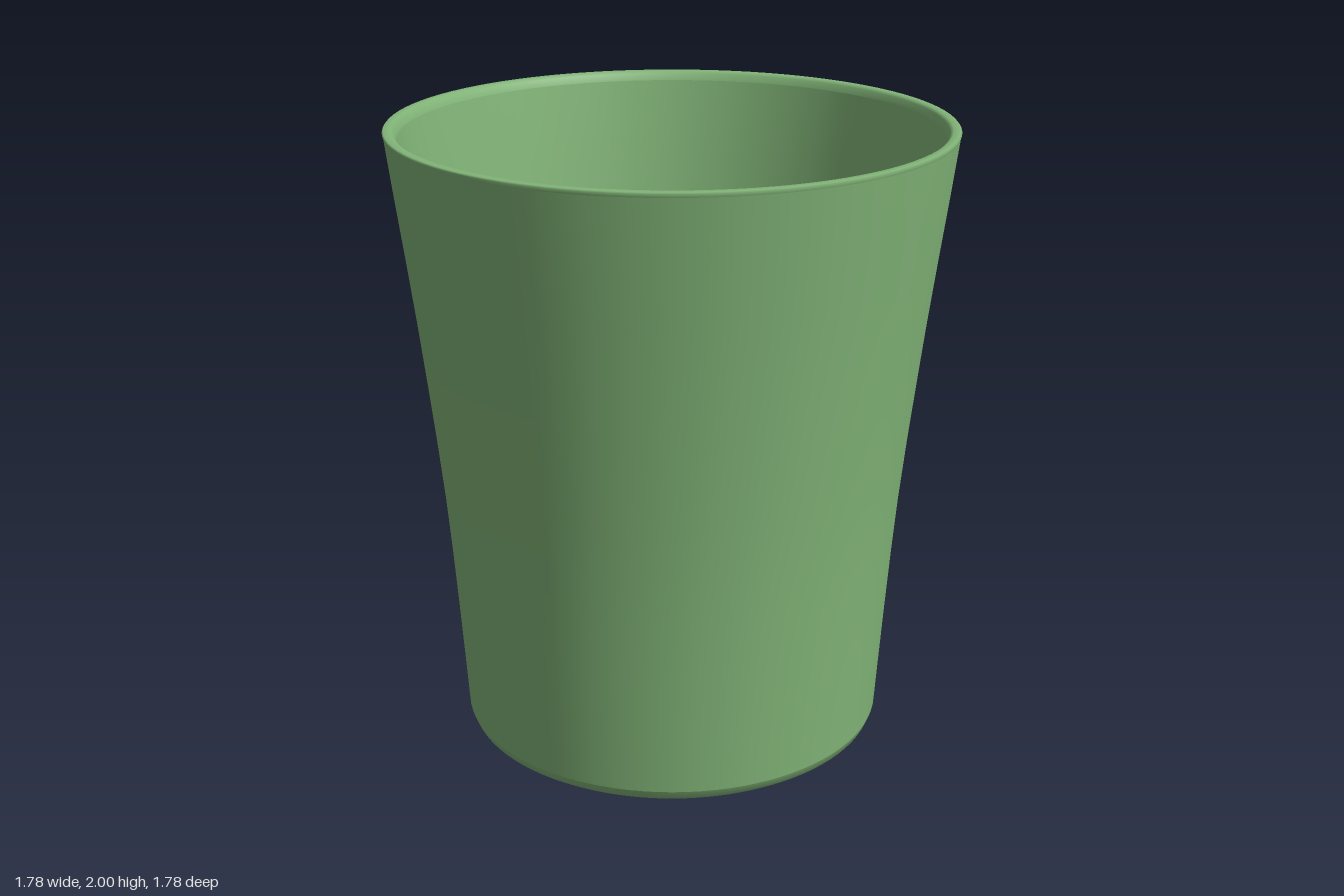
import * as THREE from 'three';

const SEGMENTS = 96;

// Each profile is a list of [radius, height]; separate lathes keep the edges between them crisp.
function turned(name, profile, material) {
  const points = profile.map(([r, y]) => new THREE.Vector2(r, y));
  const mesh = new THREE.Mesh(new THREE.LatheGeometry(points, SEGMENTS), material);
  mesh.name = name;
  return mesh;
}

export function createModel() {
  const group = new THREE.Group();
  group.name = 'cup';
  const green = new THREE.MeshStandardMaterial({ color: 0x82b578 });
  green.name = 'soft green';

  // Flared wall radii, shared by the outside and the inside
  const wall = [
    [0.693, 0.04], [0.703, 0.2], [0.716, 0.4], [0.73, 0.6], [0.746, 0.8],
    [0.766, 1.0], [0.788, 1.2], [0.811, 1.4], [0.836, 1.6], [0.862, 1.8], [0.885, 1.985],
  ];
  const thickness = 0.042;
  const inside = wall.slice(1, -1).reverse().map(([r, y]) => [r - thickness, y]);

  group.add(
    // Flat underside
    turned('base', [[0, 0], [0.665, 0]], green),
    // Small bevel around the foot
    turned('footBevel', [[0.665, 0], [0.682, 0.012], [0.693, 0.04]], green),
    turned('outerWall', wall, green),
    // Softly rounded lip
    turned('rim', [[0.885, 1.985], [0.888, 1.995], [0.884, 2], [0.862, 2], [0.852, 1.992], [0.845, 1.97]], green),
    // Inner wall running down to the floor
    turned('innerWall', [[0.845, 1.97], ...inside, [0.65, 0.12]], green),
    // Floor with a rounded edge
    turned('floor', [[0.65, 0.12], [0.638, 0.09], [0.61, 0.07], [0.55, 0.055], [0.45, 0.05], [0, 0.05]], green),
  );
  return group;
}
